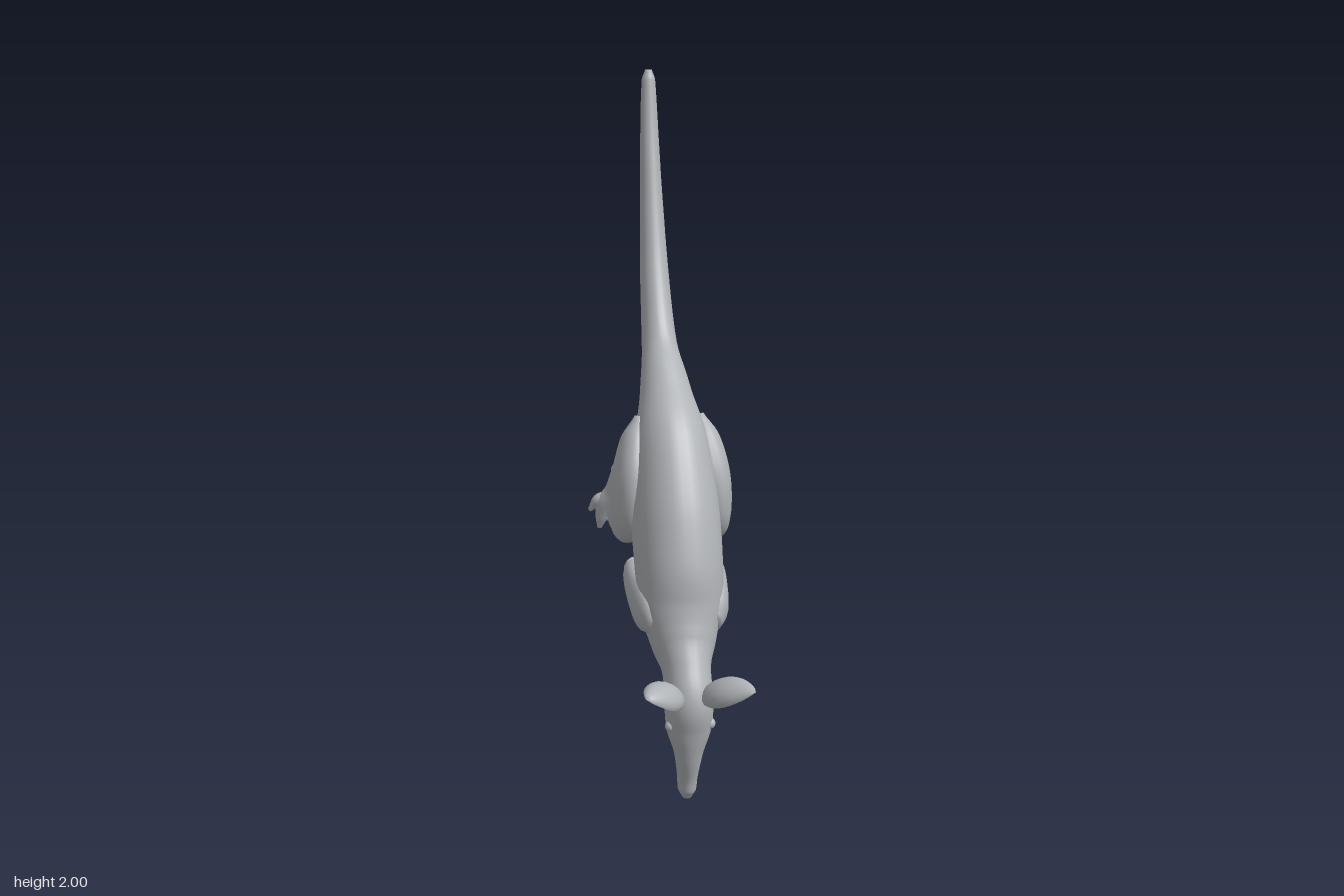
import * as THREE from 'three';
import { mergeVertices } from 'three/addons/utils/BufferGeometryUtils.js';

const fur = new THREE.MeshStandardMaterial({ color: 0xb0b3b7 });
fur.name = 'greyFur';

// Closed skin over a u (along) by v (around) grid of points
function skin(name, nu, nv, point) {
  const pos = [], index = [];
  for (let i = 0; i <= nu; i++)
    for (let j = 0; j <= nv; j++) pos.push(...point(i / nu, (j % nv) / nv).toArray());
  for (let i = 0; i < nu; i++)
    for (let j = 0; j < nv; j++) {
      const a = i * (nv + 1) + j, c = a + nv + 1;
      index.push(a, a + 1, c, a + 1, c + 1, c);
    }
  let geo = new THREE.BufferGeometry();
  geo.setAttribute('position', new THREE.Float32BufferAttribute(pos, 3));
  geo.setIndex(index);
  geo = mergeVertices(geo, 1e-5);
  geo.computeVertexNormals();
  const mesh = new THREE.Mesh(geo, fur);
  mesh.name = name;
  return mesh;
}

// Smooth limb through rings [x, y, z, depth radius, width radius]; s mirrors x
function limb(name, rings, s = 1, around = 20) {
  const path = new THREE.CatmullRomCurve3(rings.map(r => new THREE.Vector3(r[0] * s, r[1], r[2])));
  const size = new THREE.CatmullRomCurve3(
    rings.map(r => new THREE.Vector3(r[3], r[4] ?? r[3], 0)), false, 'catmullrom', 0.4);
  const n = (rings.length - 1) * 5;
  return skin(name, n + 2, around, (u, v) => {
    const k = Math.round(u * (n + 2));
    const t = THREE.MathUtils.clamp((k - 1) / n, 0, 1);
    const p = path.getPoint(t);
    if (k === 0 || k === n + 2) return p;
    const T = path.getTangent(t);
    const S = new THREE.Vector3(1, 0, 0).addScaledVector(T, -T.x).normalize();
    const V = T.clone().cross(S);
    const r = size.getPoint(t), a = v * Math.PI * 2;
    return p.addScaledVector(S, Math.cos(a) * r.y).addScaledVector(V, Math.sin(a) * r.x);
  });
}

// Cupped leaf-shaped ear, hollow on its lower outer face
function ear(name, s) {
  const base = new THREE.Vector3(0.04, 0.34, 0.325), tip = new THREE.Vector3(0.147, 0.412, 0.483);
  const axis = tip.clone().sub(base).normalize();
  const n = new THREE.Vector3(0.6, -0.75, 0);
  n.addScaledVector(axis, -n.dot(axis)).normalize();
  const w = axis.clone().cross(n);
  return skin(name, 16, 20, (u, v) => {
    const a = (s > 0 ? v : 1 - v) * Math.PI * 2;
    const r = 0.052 * Math.pow(Math.max(0, Math.sin(Math.PI * (0.12 + 0.88 * u))), 0.75);
    const hollow = u < 0.2 ? -0.3 : 0.5;
    const sn = Math.sin(a), lift = r * 0.75 * (sn > 0 ? sn : -sn * hollow);
    const p = base.clone().lerp(tip, u)
      .addScaledVector(w, Math.cos(a) * r).addScaledVector(n, -lift);
    p.x *= s;
    return p;
  });
}

export function createModel() {
  const model = new THREE.Group();
  model.name = 'kangaroo';

  // Tail, torso, neck and head in one skin, from tail tip to nose
  model.add(limb('body', [
    [0, 1.998, -0.46, 0.01, 0.01],
    [0, 1.97, -0.462, 0.021, 0.02],
    [0, 1.85, -0.452, 0.03, 0.026],
    [0, 1.70, -0.427, 0.038, 0.031],
    [0, 1.55, -0.395, 0.046, 0.037],
    [0, 1.40, -0.35, 0.055, 0.043],
    [0, 1.21, -0.255, 0.068, 0.052],
    [0, 1.09, -0.135, 0.092, 0.075],
    [0, 0.955, -0.03, 0.14, 0.108],
    [0, 0.785, 0.045, 0.165, 0.125],
    [0, 0.645, 0.11, 0.152, 0.125],
    [0, 0.53, 0.15, 0.128, 0.118],
    [0, 0.445, 0.20, 0.105, 0.092],
    [0, 0.385, 0.25, 0.086, 0.068],
    [0, 0.315, 0.288, 0.084, 0.068],
    [0, 0.235, 0.29, 0.065, 0.064],
    [0, 0.15, 0.284, 0.048, 0.04],
    [0, 0.07, 0.267, 0.037, 0.029],
    [0, 0.03, 0.262, 0.032, 0.026],
    [0, 0.003, 0.262, 0.014, 0.013],
  ], 1, 28));

  // Thin hanging lower lip
  model.add(limb('lowerLip', [
    [0, 0.20, 0.245, 0.012, 0.022],
    [0, 0.16, 0.222, 0.007, 0.018],
    [0, 0.11, 0.2, 0.003, 0.006],
  ], 1, 10));

  for (const [side, s] of [['left', 1], ['right', -1]]) {
    model.add(ear(side + 'Ear', s));

    const eye = new THREE.Mesh(new THREE.SphereGeometry(0.016, 12, 8), fur);
    eye.name = side + 'Eye';
    eye.position.set(0.055 * s, 0.25, 0.315);
    model.add(eye);

    // Hind leg
    model.add(limb(side + 'Thigh', [
      [0.085, 1.04, -0.06, 0.02, 0.015],
      [0.1, 0.97, -0.045, 0.07, 0.045],
      [0.115, 0.87, -0.03, 0.1, 0.056],
      [0.122, 0.78, -0.035, 0.1, 0.055],
      [0.128, 0.71, -0.06, 0.07, 0.045],
      [0.13, 0.672, -0.075, 0.025, 0.02],
    ], s));
    model.add(limb(side + 'Shin', [
      [0.13, 0.735, -0.03, 0.045, 0.03],
      [0.135, 0.735, -0.11, 0.066, 0.042],
      [0.13, 0.74, -0.19, 0.049, 0.036],
      [0.118, 0.755, -0.27, 0.036, 0.027],
      [0.112, 0.778, -0.35, 0.033, 0.024],
      [0.11, 0.785, -0.4, 0.026, 0.022],
    ], s));
    model.add(limb(side + 'Foot', [
      [0.11, 0.805, -0.375, 0.018, 0.018],
      [0.11, 0.765, -0.395, 0.038, 0.025],
      [0.122, 0.71, -0.42, 0.036, 0.028],
      [0.145, 0.665, -0.437, 0.03, 0.032],
      [0.158, 0.62, -0.445, 0.02, 0.02],
      [0.165, 0.582, -0.452, 0.007, 0.007],
    ], s, 14));
    for (const [x, y, z] of [[0.194, 0.64, -0.458], [0.142, 0.61, -0.435]])
      model.add(limb(side + 'Toe', [
        [0.145, 0.69, -0.435, 0.018],
        [(0.145 + x) / 2, y + 0.035, -0.442, 0.019],
        [x, y, z, 0.007],
      ], s, 10));

    // Foreleg
    model.add(limb(side + 'UpperArm', [
      [0.085, 0.5, 0.21, 0.03, 0.02],
      [0.1, 0.525, 0.165, 0.068, 0.033],
      [0.11, 0.555, 0.09, 0.067, 0.035],
      [0.115, 0.59, 0.025, 0.048, 0.033],
      [0.113, 0.6, -0.02, 0.026, 0.022],
    ], s));
    model.add(limb(side + 'Forearm', [
      [0.114, 0.615, 0.015, 0.028, 0.022],
      [0.112, 0.585, -0.02, 0.04, 0.029],
      [0.104, 0.545, -0.065, 0.03, 0.024],
      [0.095, 0.51, -0.105, 0.023, 0.02],
      [0.09, 0.49, -0.128, 0.03, 0.023],
      [0.088, 0.475, -0.142, 0.014, 0.012],
    ], s, 14));
  }
  return model;
}
